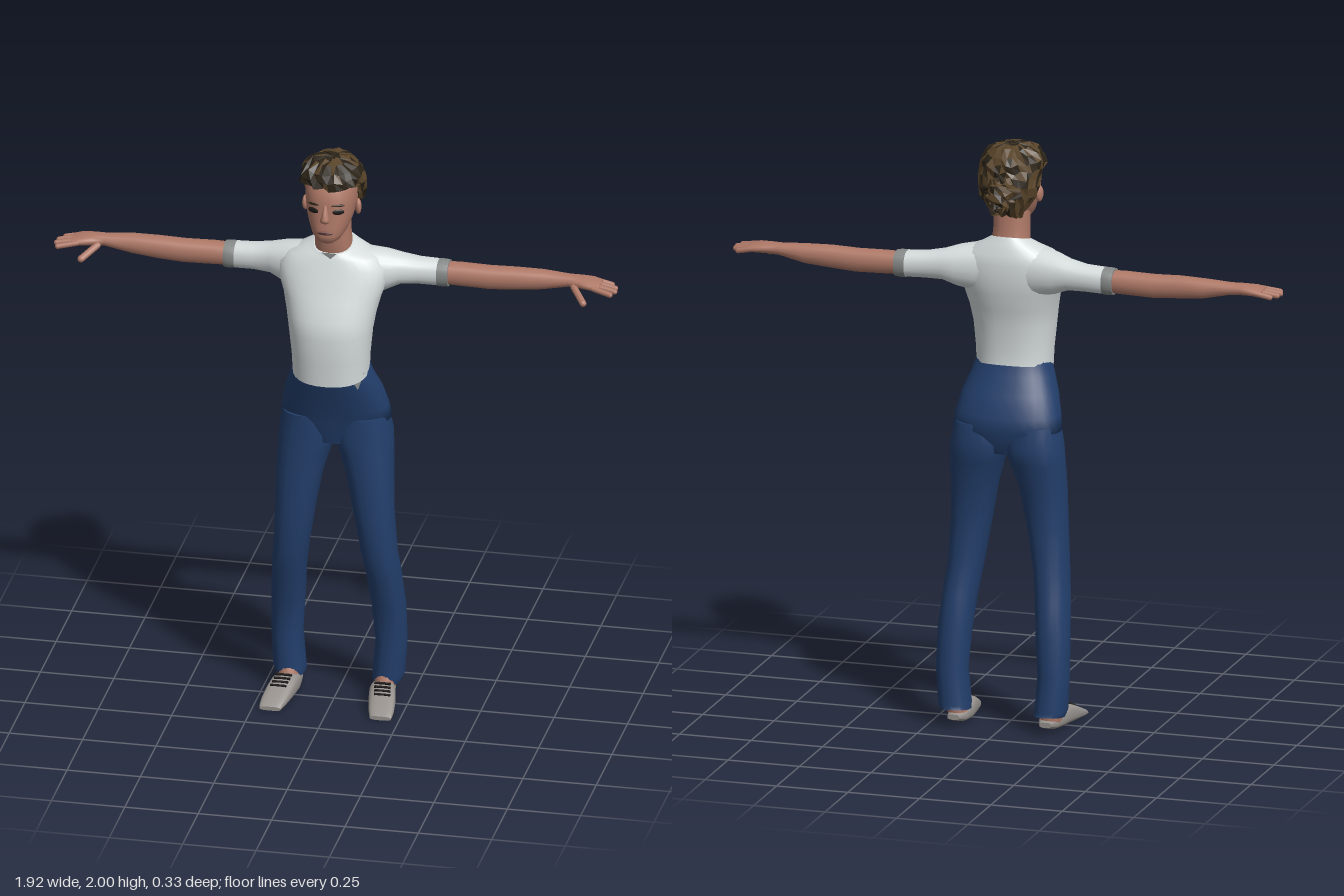
import * as THREE from 'three';

const mat = (name, color, side = THREE.FrontSide) => {
  const m = new THREE.MeshStandardMaterial({ color, side });
  m.name = name;
  return m;
};

// Deterministic pseudo-random value from a position
const hash = (x, y, z) => {
  const s = Math.sin(x * 127.1 + y * 311.7 + z * 74.7) * 43758.5453;
  return s - Math.floor(s);
};

// Closed loft through oval sections. Row: [t, a0, a1, b0, b1, tilt], where the
// a and b values are the extents of the section at distance t along the axis.
function loft(rows, { axis = 'y', seg = 20, power = 2.3 } = {}) {
  const pos = [], index = [];
  const put = (a, b, t) => {
    if (axis === 'y') pos.push(a, t, b);
    else if (axis === 'x') pos.push(t, a, b);
    else pos.push(a, b, t);
  };
  const sa = axis === 'x' ? -1 : 1, sb = axis === 'z' ? -1 : 1;
  const bend = v => Math.sign(v) * Math.pow(Math.abs(v), 2 / power);
  const ring = ([t, a0, a1, b0, b1, tilt = 0]) => {
    for (let j = 0; j < seg; j++) {
      const w = (j / seg) * Math.PI * 2;
      const a = (a0 + a1) / 2 + sa * bend(Math.cos(w)) * (a1 - a0) / 2;
      const b = (b0 + b1) / 2 + sb * bend(Math.sin(w)) * (b1 - b0) / 2;
      put(a, b, t - tilt * b);
    }
  };
  rows.forEach(ring);
  for (let i = 0; i < rows.length - 1; i++) {
    for (let j = 0; j < seg; j++) {
      const k = (j + 1) % seg, p = i * seg, q = p + seg;
      index.push(p + j, q + j, q + k, p + j, q + k, p + k);
    }
  }
  [rows[0], rows[rows.length - 1]].forEach((r, end) => {
    const base = pos.length / 3;
    ring(r);
    const b = (r[3] + r[4]) / 2;
    put((r[1] + r[2]) / 2, b, r[0] - (r[5] || 0) * b);
    for (let j = 0; j < seg; j++) {
      const k = (j + 1) % seg;
      index.push(base + seg, base + (end ? k : j), base + (end ? j : k));
    }
  });
  const g = new THREE.BufferGeometry();
  g.setAttribute('position', new THREE.Float32BufferAttribute(pos, 3));
  g.setIndex(index);
  g.computeVertexNormals();
  return g;
}

// Symmetric row about x = 0
const sym = ([t, w, z0, z1, tilt]) => [t, -w, w, z0, z1, tilt];

// Ragged faceted surface whose patches alternate between two materials
function ragged(geo, amount, lightShare) {
  const p = geo.attributes.position;
  for (let i = 0; i < p.count; i++) {
    const [x, y, z] = [p.getX(i), p.getY(i), p.getZ(i)];
    const f = n => (hash(x + n, y, z) - 0.5) * amount;
    p.setXYZ(i, x + f(1), Math.min(2, y + f(2)), z + f(3));
  }
  const g = geo.toNonIndexed();
  g.computeVertexNormals();
  const q = g.attributes.position;
  for (let i = 0; i < q.count; i += 3) {
    const [x, y, z] = [q.getX(i), q.getY(i), q.getZ(i)];
    g.addGroup(i, 3, hash(z, x, y) < lightShare(y, z) ? 1 : 0);
  }
  return g;
}

// Rounded rod between two points
function rod(a, b, r) {
  const p = new THREE.Vector3(...a), d = new THREE.Vector3(...b).sub(p);
  const g = new THREE.CapsuleGeometry(r, Math.max(0.001, d.length() - 2 * r), 3, 8);
  g.applyQuaternion(new THREE.Quaternion().setFromUnitVectors(new THREE.Vector3(0, 1, 0), d.clone().normalize()));
  return g.translate(p.x + d.x / 2, p.y + d.y / 2, p.z + d.z / 2);
}

const blob = (x, y, z, sx, sy, sz, turn = 0) =>
  new THREE.SphereGeometry(1, 14, 10).scale(sx, sy, sz).rotateY(turn).translate(x, y, z);

export function createModel() {
  const model = new THREE.Group();
  model.name = 'standingPerson';
  const skin = mat('skin', 0xb07a68), shirt = mat('shirt white', 0xd6dcdc);
  const denim = mat('trouser blue', 0x233f6c), fray = mat('frayed grey', 0x868a88, THREE.DoubleSide);
  const darkHair = mat('dark hair', 0x2b2317), brownHair = mat('brown hair', 0x5a452a);
  const shoe = mat('shoe grey', 0x96918d), dark = mat('dark detail', 0x1f1a1a);
  const lip = mat('lip', 0x7a4a42);

  const add = (name, geo, m) => {
    const mesh = new THREE.Mesh(geo, m);
    mesh.name = name;
    model.add(mesh);
  };
  // Adds a left part (+x) and its mirrored right twin
  const pair = (name, geo, m) => {
    add('left' + name, geo, m);
    const g = geo.clone().scale(-1, 1, 1), ix = g.index.array;
    for (let i = 0; i < ix.length; i += 3) [ix[i], ix[i + 1]] = [ix[i + 1], ix[i]];
    add('right' + name, g, m);
  };

  // Trousers
  add('trouserHips', loft([
    [0.95, 0.09, -0.11, 0.04], [1.03, 0.187, -0.143, 0.06], [1.08, 0.18, -0.135, 0.075],
    [1.15, 0.163, -0.11, 0.1], [1.21, 0.14, -0.075, 0.122], [1.25, 0.128, -0.06, 0.125, 0.18],
  ].map(sym), { seg: 28 }), denim);
  pair('TrouserLeg', loft([
    [0.04, 0.115, 0.213, -0.16, -0.03, 0.15], [0.075, 0.115, 0.222, -0.155, -0.02],
    [0.2, 0.125, 0.23, -0.15, -0.03], [0.33, 0.115, 0.227, -0.145, -0.01],
    [0.45, 0.105, 0.218, -0.125, 0.03], [0.55, 0.09, 0.208, -0.1, 0.053],
    [0.7, 0.065, 0.2, -0.095, 0.064], [0.83, 0.04, 0.198, -0.105, 0.062],
    [0.92, 0.012, 0.195, -0.132, 0.06], [0.98, -0.01, 0.192, -0.142, 0.06],
    [1.05, 0.005, 0.178, -0.13, 0.06],
  ]), denim);

  // Shirt body, sleeves and frayed edges
  add('shirtBody', loft([
    [1.235, 0.128, -0.07, 0.153, 0.18], [1.29, 0.131, -0.066, 0.157], [1.38, 0.14, -0.072, 0.166],
    [1.44, 0.15, -0.085, 0.155], [1.5, 0.165, -0.1, 0.13], [1.55, 0.183, -0.106, 0.112],
    [1.6, 0.185, -0.106, 0.092], [1.635, 0.155, -0.1, 0.08], [1.66, 0.095, -0.084, 0.073, 0.15],
    [1.675, 0.066, -0.075, 0.072, 0.25],
  ].map(sym), { seg: 32 }), shirt);
  pair('Sleeve', loft([
    [0.04, 1.5, 1.66, -0.095, 0.06], [0.1, 1.49, 1.656, -0.1, 0.06], [0.17, 1.505, 1.644, -0.104, 0.035],
    [0.22, 1.525, 1.629, -0.102, 0.008], [0.28, 1.527, 1.618, -0.1, -0.008], [0.36, 1.525, 1.614, -0.102, -0.012],
  ], { axis: 'x' }), shirt);
  pair('SleeveFray', loft([
    [0.345, 1.524, 1.615, -0.103, -0.011], [0.365, 1.523, 1.615, -0.104, -0.01],
    [0.382, 1.525, 1.613, -0.102, -0.012],
  ], { axis: 'x' }), fray);
  const tear = new THREE.Shape([[-0.03, 0.03], [0.005, -0.03], [0.03, 0.03]].map(p => new THREE.Vector2(...p)));
  add('hemFray', new THREE.ShapeGeometry(tear).rotateY(0.7).translate(0.1, 1.215, 0.108), fray);
  add('collarFray', new THREE.ShapeGeometry(tear).scale(0.9, 0.35, 1).translate(0, 1.655, 0.079), fray);

  // Arms and hands
  pair('Arm', loft([
    [0.32, 1.533, 1.606, -0.095, -0.02], [0.42, 1.53, 1.608, -0.099, -0.018], [0.52, 1.527, 1.606, -0.097, -0.02],
    [0.61, 1.533, 1.609, -0.095, -0.021], [0.7, 1.542, 1.607, -0.097, -0.026], [0.79, 1.561, 1.601, -0.086, -0.03],
    [0.83, 1.563, 1.6, -0.09, -0.018], [0.87, 1.564, 1.596, -0.096, -0.004], [0.9, 1.564, 1.587, -0.092, -0.004],
  ], { axis: 'x', seg: 16 }), skin);
  [[-0.084, -0.08, 0.94], [-0.06, -0.053, 0.957], [-0.036, -0.025, 0.96], [-0.013, 0.005, 0.95]].forEach(([z0, z1, tip], i) =>
    pair('Finger' + (i + 1), rod([0.87, 1.58, z0], [tip, 1.566, z1], 0.0095), skin));
  pair('Thumb', rod([0.805, 1.575, -0.035], [0.862, 1.538, 0.042], 0.012), skin);

  // Neck, head and ears
  add('neck', loft([
    [1.6, 0.07, -0.08, 0.05], [1.67, 0.062, -0.066, 0.066], [1.72, 0.06, -0.055, 0.074], [1.79, 0.06, -0.055, 0.075],
  ].map(sym)), skin);
  add('head', loft([
    [1.722, 0.025, 0.06, 0.125], [1.735, 0.043, 0.01, 0.143], [1.755, 0.058, -0.03, 0.148],
    [1.785, 0.07, -0.06, 0.146], [1.82, 0.08, -0.075, 0.143], [1.86, 0.085, -0.08, 0.141],
    [1.91, 0.086, -0.08, 0.14], [1.95, 0.07, -0.06, 0.11], [1.975, 0.04, -0.02, 0.08],
  ].map(sym), { seg: 28, power: 2.4 }), skin);
  pair('Ear', blob(0.089, 1.825, 0.03, 0.011, 0.028, 0.018, 0.3), skin);

  // Face
  add('nose', loft([
    [1.803, 0.01, 0.13, 0.15], [1.81, 0.018, 0.125, 0.162], [1.822, 0.014, 0.125, 0.167],
    [1.845, 0.009, 0.125, 0.153], [1.868, 0.006, 0.125, 0.142],
  ].map(sym), { seg: 12, power: 2 }), skin);
  pair('Eye', blob(0.042, 1.843, 0.131, 0.021, 0.01, 0.004, 0.4), dark);
  pair('Brow', blob(0.042, 1.866, 0.131, 0.023, 0.004, 0.004, 0.4), darkHair);
  add('mouth', blob(0, 1.768, 0.146, 0.026, 0.007, 0.005), lip);
  add('mouthLine', blob(0, 1.768, 0.148, 0.025, 0.002, 0.005), dark);

  // Hair cap, tied bun and loose tufts
  const hairMats = [darkHair, brownHair];
  add('hairCap', ragged(loft([
    [1.765, 0.05, -0.064, -0.03], [1.8, 0.077, -0.085, 0.005], [1.83, 0.094, -0.094, 0.02],
    [1.865, 0.103, -0.1, 0.03], [1.9, 0.107, -0.1, 0.075], [1.922, 0.107, -0.1, 0.142],
    [1.945, 0.104, -0.095, 0.14], [1.97, 0.087, -0.08, 0.12], [1.988, 0.06, -0.05, 0.09], [1.998, 0.025, -0.015, 0.05],
  ].map(sym), { seg: 30, power: 2.1 }), 0.014, (y, z) => (z > 0.03 && y < 1.97 ? 0.2 : 0.65)), hairMats);
  add('hairBun', ragged(blob(0, 1.855, -0.118, 0.048, 0.055, 0.04), 0.02, () => 0.6), hairMats);
  for (let i = 0; i < 12; i++) {
    const a = i * 2.4, s = 0.55 + 0.45 * hash(i, 2, 3);
    const tuft = new THREE.ConeGeometry(0.013, 0.06, 5).rotateX(-Math.PI / 2 + 0.9 * Math.sin(a))
      .rotateY(0.6 * Math.cos(a)).translate(0.055 * s * Math.cos(a), 1.86 + 0.055 * s * Math.sin(a), -0.138);
    add('hairTuft', tuft, hairMats[i % 2]);
  }

  // Feet, shoes and laces
  pair('Ankle', loft([
    [0.025, 0.125, 0.195, -0.115, -0.01], [0.055, 0.127, 0.2, -0.118, -0.005], [0.12, 0.135, 0.2, -0.12, -0.04],
  ]), skin);
  pair('Shoe', loft([
    [-0.13, 0.14, 0.182, 0.022, 0.04], [-0.09, 0.125, 0.193, 0.008, 0.048], [-0.03, 0.12, 0.202, 0, 0.066],
    [0.01, 0.122, 0.212, 0, 0.074], [0.05, 0.128, 0.22, 0, 0.06], [0.1, 0.138, 0.226, 0, 0.038],
    [0.13, 0.147, 0.226, 0, 0.024], [0.143, 0.152, 0.224, 0, 0.014],
  ], { axis: 'z', seg: 24, power: 3 }), shoe);
  for (let i = 0; i < 4; i++) {
    const lace = new THREE.BoxGeometry(0.055, 0.006, 0.007).rotateX(0.35)
      .translate(0.168 + i * 0.003, 0.075 - i * 0.0065, 0.012 + i * 0.016);
    pair('Lace', lace, dark);
  }
  return model;
}
